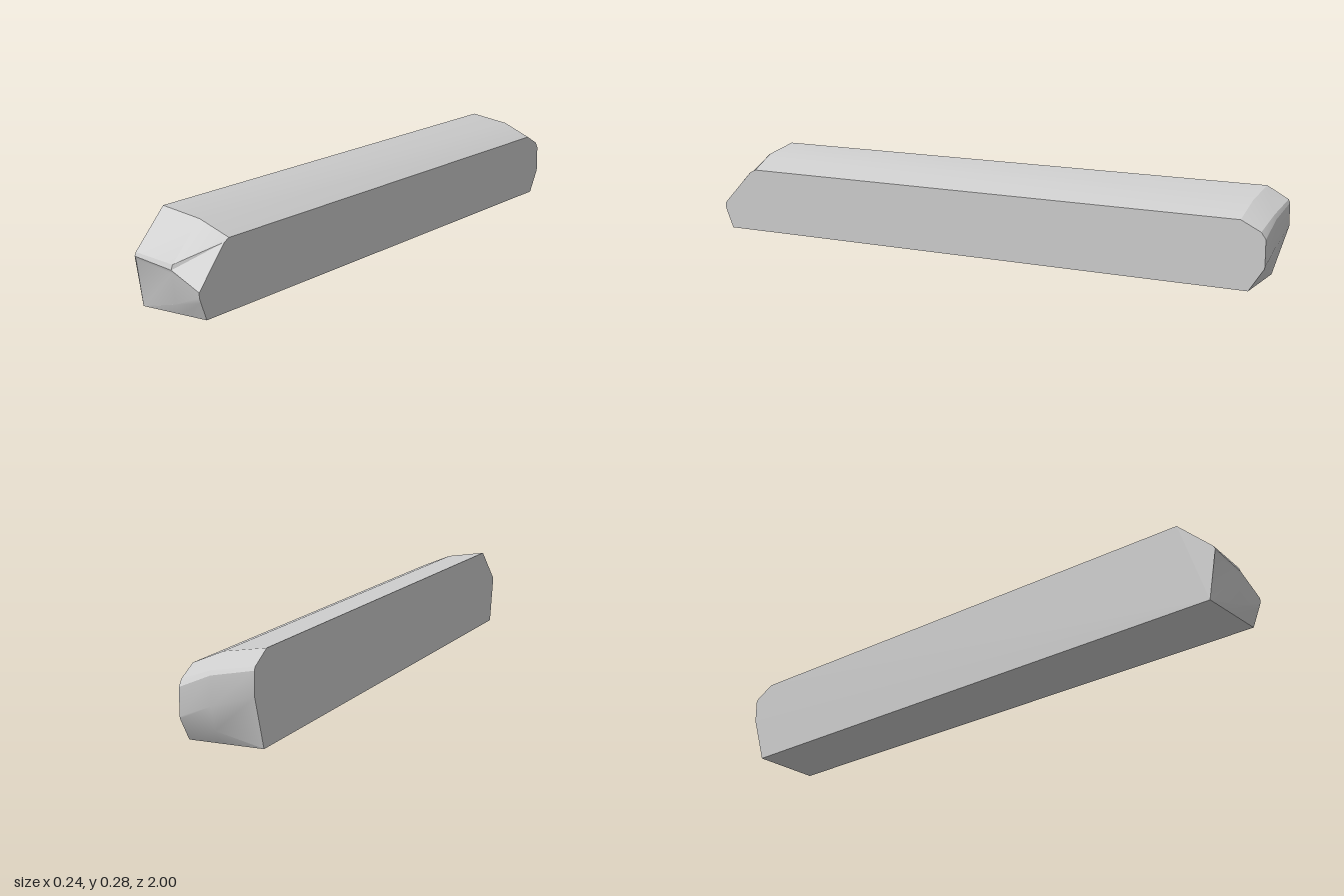
import * as THREE from 'three';
import { toCreasedNormals } from 'three/addons/utils/BufferGeometryUtils.js';

// Lengthwise outlines as [z, y], from the front bottom over the top to the back bottom.
const sections = [
  { x: -0.119, outline: [[0.97, 0], [0.97, 0.001], [0.995, 0.148], [1, 0.157], [0.995, 0.168], [0.873, 0.281],
    [-0.925, 0.283], [-0.995, 0.245], [-1, 0.235], [-1, 0.16], [-0.95, 0.001], [-0.95, 0]] },
  { x: 0.018, outline: [[0.97, 0], [0.984, 0.032], [0.997, 0.127], [1, 0.137], [0.994, 0.152], [0.872, 0.26],
    [-0.925, 0.261], [-0.993, 0.222], [-1, 0.208], [-1, 0.12], [-0.979, 0.044], [-0.95, 0]] },
  { x: 0.119, outline: [[0.97, 0], [0.993, 0.055], [1, 0.072], [1, 0.088], [0.885, 0.209], [0.865, 0.218],
    [-0.92, 0.218], [-0.985, 0.186], [-1, 0.165], [-1, 0.08], [-0.998, 0.073], [-0.95, 0]] },
];

// Skin between neighbouring outlines, plus a flat cap on each long side.
function loftGeometry() {
  const n = sections[0].outline.length;
  const last = sections.length - 1;
  const positions = sections.flatMap(({ x, outline }) => outline.flatMap(([z, y]) => [x, y, z]));
  const index = [];
  for (let s = 0; s < last; s++) {
    for (let i = 0; i < n; i++) {
      const j = (i + 1) % n;
      const a = s * n + i, b = a + n, c = (s + 1) * n + j, d = s * n + j;
      index.push(a, b, c, a, c, d);
    }
  }
  for (let i = 1; i < n - 1; i++) {
    index.push(0, i, i + 1);
    index.push(last * n, last * n + i + 1, last * n + i);
  }
  const geometry = new THREE.BufferGeometry();
  geometry.setAttribute('position', new THREE.Float32BufferAttribute(positions, 3));
  geometry.setIndex(index);
  return toCreasedNormals(geometry, 0.4);
}

export function createModel() {
  const model = new THREE.Group();
  model.name = 'chamferedBar';
  // Long bar with a sloping crowned top and bevelled ends
  const bar = new THREE.Mesh(loftGeometry(), new THREE.MeshStandardMaterial({ color: 0xcccccc }));
  bar.name = 'bar';
  model.add(bar);
  return model;
}
